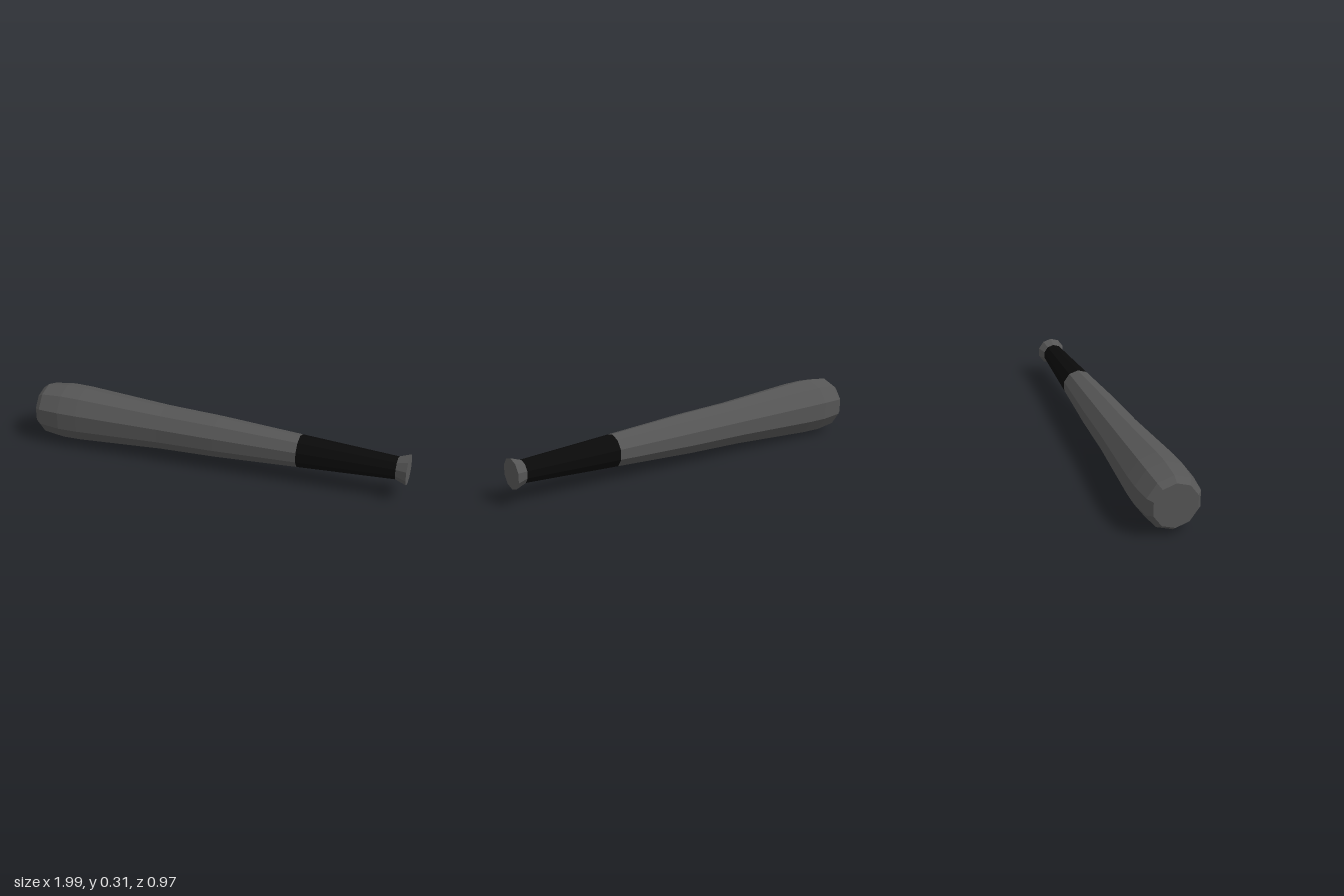
import * as THREE from 'three';

const SIDES = 10;

export function createModel() {
  const bodyMat = new THREE.MeshStandardMaterial({ color: 0x555555, flatShading: true });
  const gripMat = new THREE.MeshStandardMaterial({ color: 0x0a0a0a, flatShading: true });

  const bat = new THREE.Group();
  bat.name = 'bat';

  // Turned section from [radius, distance along the bat] pairs, laid along +x with a corner on top
  function addTurned(name, profile, material) {
    const points = profile.map(([r, s]) => new THREE.Vector2(r, s));
    const geometry = new THREE.LatheGeometry(points, SIDES, Math.PI / 2);
    geometry.rotateZ(-Math.PI / 2);
    const mesh = new THREE.Mesh(geometry, material);
    mesh.name = name;
    bat.add(mesh);
  }

  // Barrel: flat rounded-off tip, widest near the end, tapering to the grip
  addTurned('barrel', [
    [0, -1.037], [0.116, -1.037], [0.141, -1.005], [0.155, -0.885],
    [0.153, -0.776], [0.123, -0.3], [0.113, 0.013], [0.088, 0.467],
  ], bodyMat);

  // Dark wrapped grip
  addTurned('grip', [[0.088, 0.467], [0.06, 0.984]], gripMat);

  // Flared knob with a flat end
  addTurned('knob', [[0.06, 0.984], [0.081, 1.042], [0, 1.042]], bodyMat);

  // Lies level, turned so the knob points to the front left
  bat.rotation.y = -0.39;
  bat.position.set(0, 0.155, 0.015);

  const model = new THREE.Group();
  model.name = 'baseballBat';
  model.add(bat);
  return model;
}
